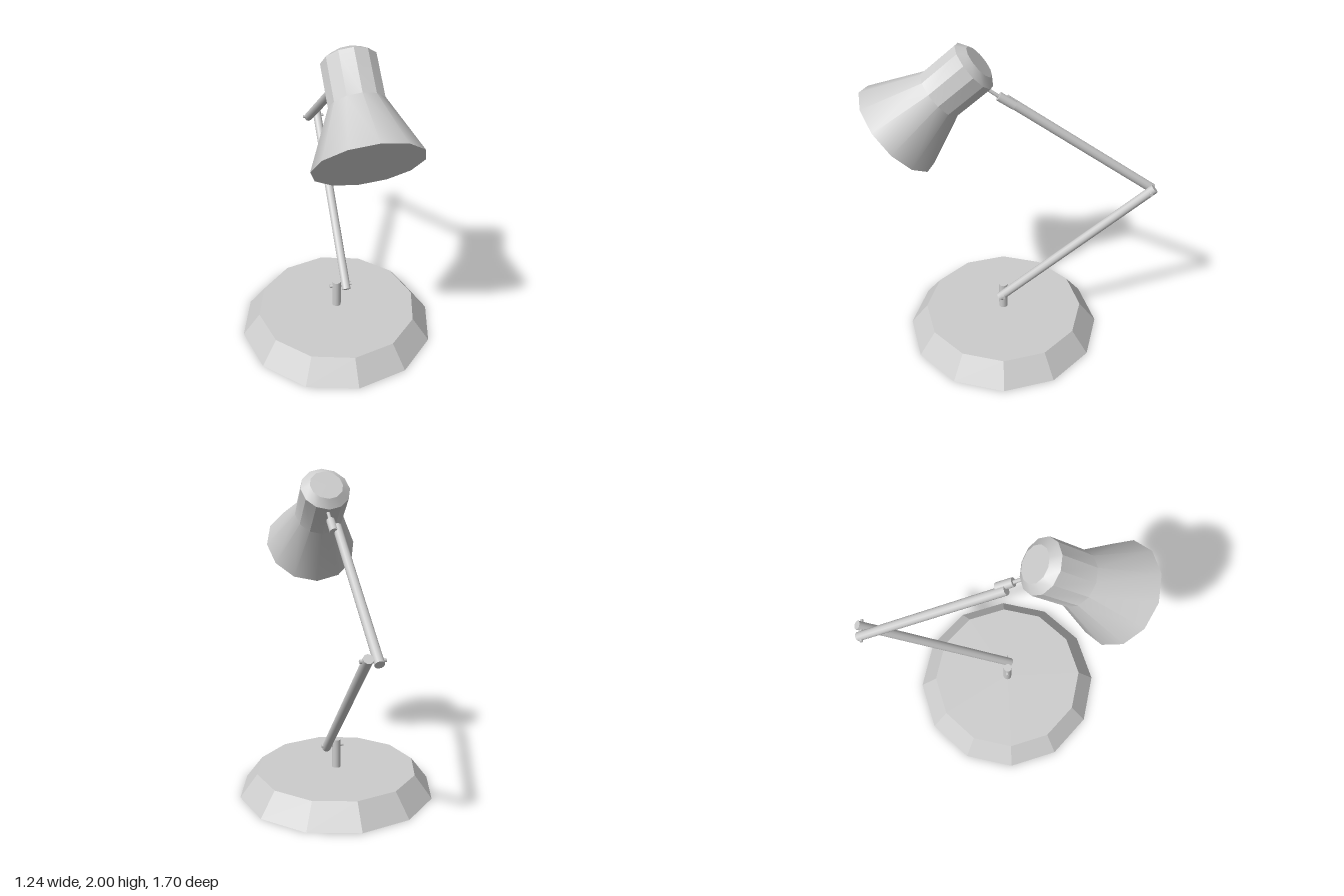
import * as THREE from 'three';
import { toCreasedNormals } from 'three/addons/utils/BufferGeometryUtils.js';

const smooth = new THREE.MeshStandardMaterial({ color: 0xcccccc });
const faceted = new THREE.MeshStandardMaterial({ color: 0xcccccc, flatShading: true });
const UP = new THREE.Vector3(0, 1, 0);

export function createModel() {
  const lamp = new THREE.Group();
  lamp.name = 'deskLamp';

  function add(name, geometry, material = smooth) {
    const mesh = new THREE.Mesh(geometry, material);
    mesh.name = name;
    lamp.add(mesh);
    return mesh;
  }

  // Round bar between two points
  function bar(name, from, to, radius, sides = 12) {
    const a = new THREE.Vector3(...from);
    const b = new THREE.Vector3(...to);
    const mesh = add(name, new THREE.CylinderGeometry(radius, radius, a.distanceTo(b), sides));
    mesh.position.copy(a).lerp(b, 0.5);
    mesh.quaternion.setFromUnitVectors(UP, b.sub(a).normalize());
    return mesh;
  }

  // Weighted base with bevelled side
  add('base', new THREE.CylinderGeometry(0.51, 0.62, 0.145, 12), faceted)
    .position.set(0, 0.0725, 0.07);

  // Post and the two arms, which lie side by side
  bar('post', [0, 0.14, 0.07], [0, 0.33, 0.07], 0.028);
  bar('lowerArm', [0.06, 0.27, 0.092], [0.06, 1.11, -0.832], 0.028);
  bar('upperArm', [0, 1.075, -0.829], [0, 1.675, 0.045], 0.028);

  // Hinge pins through post and elbow
  bar('basePin', [-0.045, 0.293, 0.067], [0.098, 0.293, 0.067], 0.011, 8);
  bar('elbowPin', [-0.04, 1.092, -0.808], [0.1, 1.092, -0.808], 0.011, 8);

  // Swivel joint that carries the shade
  bar('shadeSocket', [0.03, 1.65, -0.005], [0.03, 1.708, 0.083], 0.026);
  bar('shadeStem', [0.03, 1.69, 0.06], [0.03, 1.77, 0.17], 0.011, 8);

  // Closed shade: mouth, flare, straight neck, bevelled cap
  const profile = [[0, 0], [0.296, 0], [0.153, 0.328], [0.153, 0.579], [0.102, 0.616], [0, 0.616]]
    .map(([r, h]) => new THREE.Vector2(r, h));
  const shade = add('shade', toCreasedNormals(new THREE.LatheGeometry(profile, 12), 0.5));
  shade.position.set(0.03, 1.51, 0.652);
  shade.quaternion.setFromUnitVectors(UP, new THREE.Vector3(0, 0.65, -0.76).normalize());

  return lamp;
}
